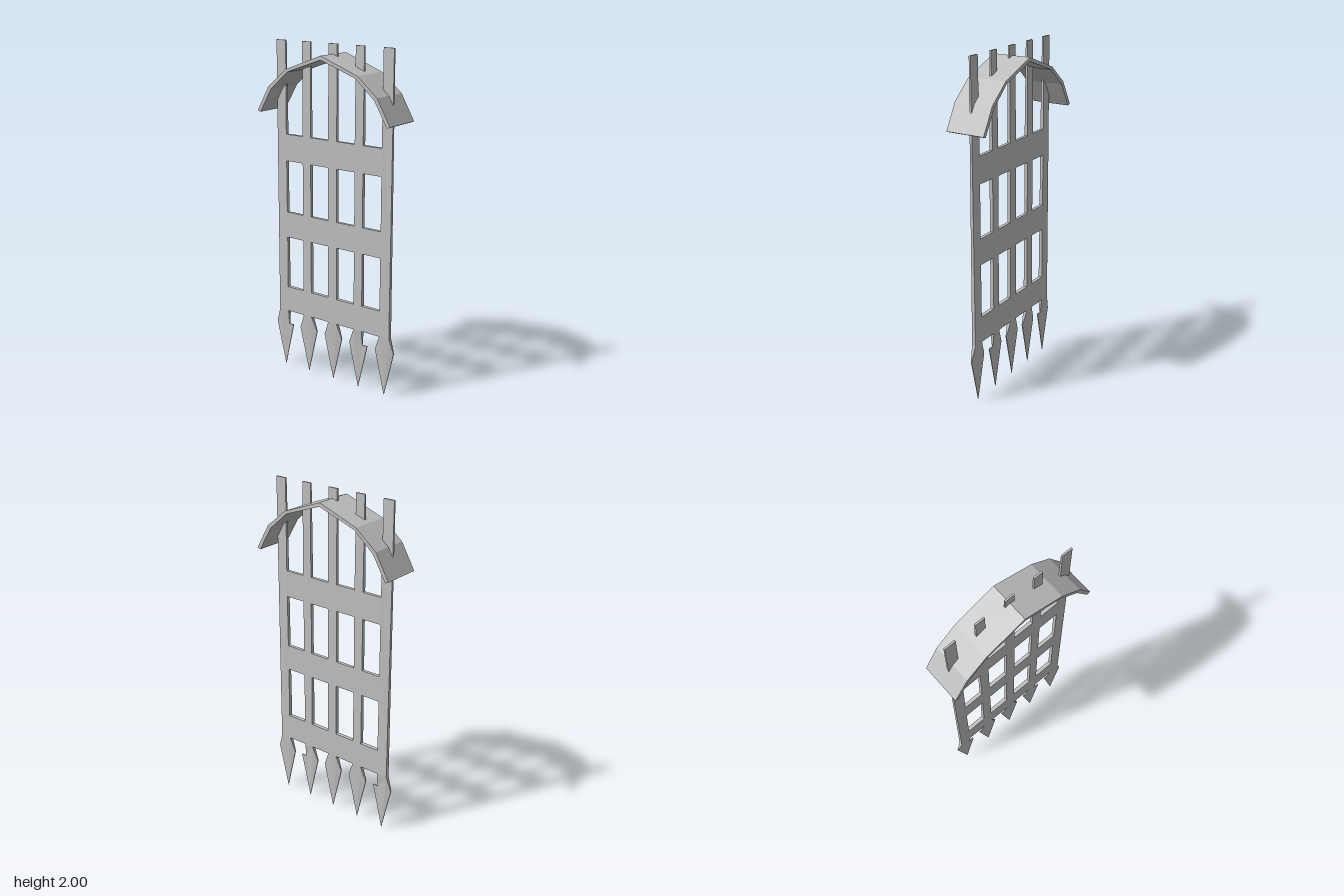
import * as THREE from 'three';

const iron = new THREE.MeshStandardMaterial({ color: 0xc0c0c0 });
iron.name = 'grey iron';

// Extrude a shape in z, centred on z = 0, with flat facets
function slab(name, shape, depth) {
  const geo = new THREE.ExtrudeGeometry(shape, { depth, bevelEnabled: false });
  geo.translate(0, 0, -depth / 2);
  const mesh = new THREE.Mesh(geo, iron);
  mesh.name = name;
  return mesh;
}

const toShape = (pts) => new THREE.Shape(pts.map(([x, y]) => new THREE.Vector2(x, y)));

export function createModel() {
  const group = new THREE.Group();
  group.name = 'portcullis';

  // Left and right edge of each upright
  const bars = [[-0.403, -0.336], [-0.215, -0.157], [-0.03, 0.03], [0.155, 0.212], [0.336, 0.403]];
  const railBottom = 0.365, railTop = 1.46;

  // Outline: spikes along the bottom, then the open comb of bars along the top
  const outline = [];
  bars.forEach(([l, r], i) => {
    const c = [-0.368, -0.185, 0, 0.183, 0.367][i];
    outline.push([l, railBottom], [c - 0.064, 0.275], [c, 0.005]);
    outline.push([c + 0.064, 0.277]);
    // two spikes have a chipped shoulder
    if (i === 0 || i === 3) outline.push([r, 0.277]);
    outline.push([r, railBottom]);
  });
  for (let i = 4; i >= 0; i--) {
    const [l, r] = bars[i];
    if (i < 4) outline.push([r, railTop]);
    outline.push([r, 2], [l, 2]);
    if (i > 0) outline.push([l, railTop]);
  }
  const gate = toShape(outline);

  // Two rows of openings between the rails
  for (const [y0, y1] of [[0.52, 0.835], [0.99, 1.302]]) {
    for (let i = 0; i < 4; i++) {
      const x0 = bars[i][1], x1 = bars[i + 1][0];
      gate.holes.push(toShape([[x0, y0], [x0, y1], [x1, y1], [x1, y0]]));
    }
  }
  const grating = slab('grating', gate, 0.02);

  // Thin the spikes towards their tips and the bar tops slightly
  const pos = grating.geometry.attributes.position;
  for (let i = 0; i < pos.count; i++) {
    const y = pos.getY(i);
    const k = y < 0.1 ? 0.15 : y < 0.3 ? 0.3 : y < 0.6 ? 1.15 : y > 1.9 ? 0.5 : 1;
    pos.setZ(i, pos.getZ(i) * k);
  }
  grating.geometry.computeVertexNormals();
  group.add(grating);

  // Faceted arched canopy
  const outer = [[0.458, 1.603], [0.374, 1.748], [0.245, 1.853], [0, 1.943]];
  const inner = [[0.438, 1.595], [0.356, 1.733], [0.235, 1.838], [0, 1.92]];
  const mirror = (pts) => pts.slice(0, 3).reverse().map(([x, y]) => [-x, y]);
  const arch = [...outer, ...mirror(outer), ...[...inner, ...mirror(inner)].reverse()];
  group.add(slab('archedCanopy', toShape(arch), 0.232));

  return group;
}
